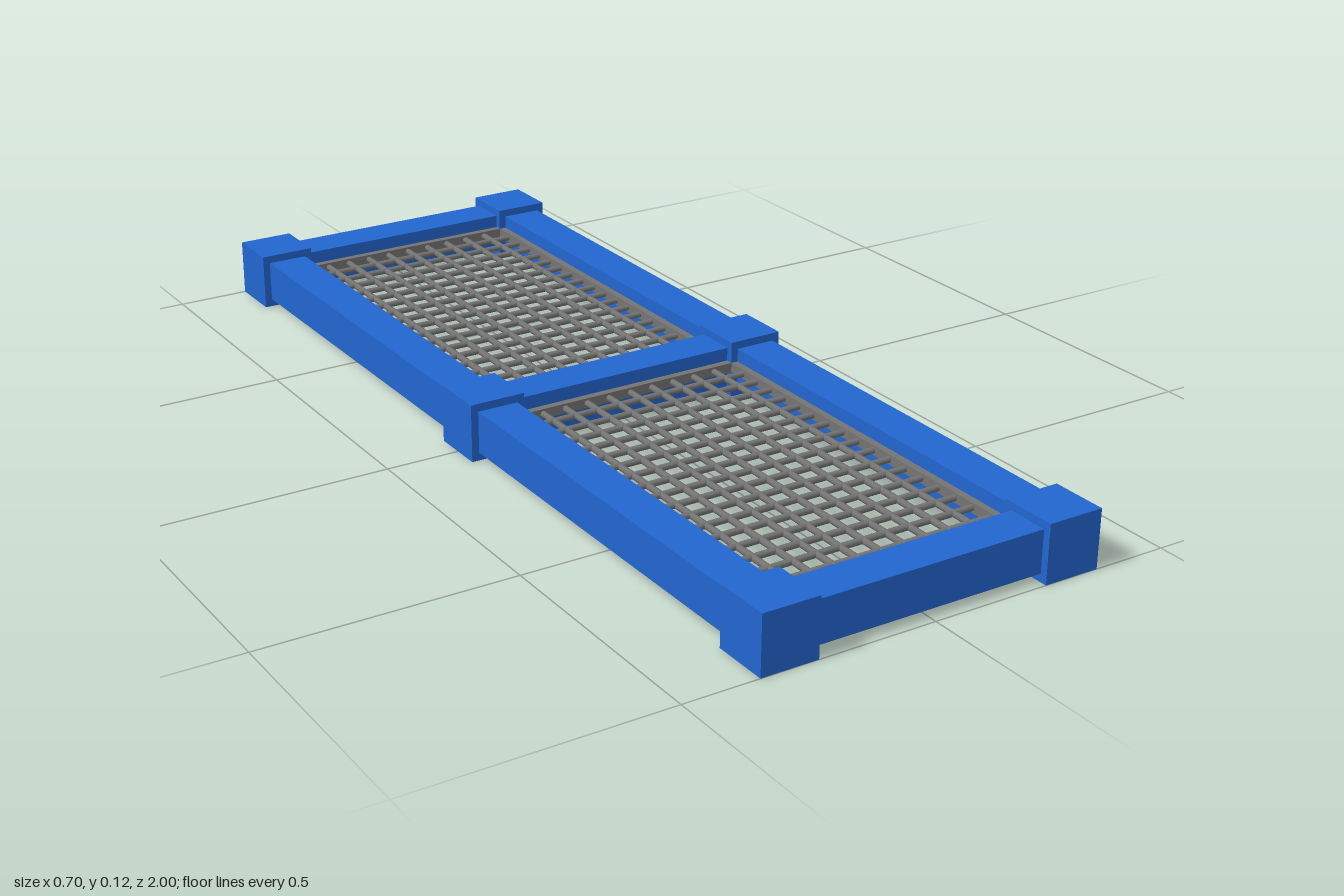
import * as THREE from 'three';

export function createModel() {
  const model = new THREE.Group();
  const blue = new THREE.MeshStandardMaterial({ color: 0x2266d0 });
  blue.name = 'blue frame';
  const grey = new THREE.MeshStandardMaterial({ color: 0x747474 });
  grey.name = 'grey mesh';

  const box = (name, mat, parent, w, h, d, x, y, z) => {
    const m = new THREE.Mesh(new THREE.BoxGeometry(w, h, d), mat);
    m.name = name;
    m.position.set(x, y, z);
    parent.add(m);
  };

  const post = 0.114, postH = 0.116, rail = 0.084, midY = postH / 2;
  const postX = 0.294, postZ = 0.943;

  // Six corner and middle blocks, with cross rails between each pair
  for (const z of [-postZ, 0, postZ]) {
    for (const s of [-1, 1]) box('cornerBlock', blue, model, post, postH, post, s * postX, midY, z);
    box('crossRail', blue, model, 2 * postX - post, rail, rail, 0, midY, z);
  }

  // Long side rails between the blocks
  for (const s of [-1, 1]) {
    for (const t of [-1, 1]) {
      box('sideRail', blue, model, rail, rail, postZ - post, s * postX, midY, t * postZ / 2);
    }
  }

  // Two wire mesh panels, each with a thin border
  const halfX = postX - rail / 2, halfZ = (postZ - rail) / 2;
  const border = 0.015, borderH = 0.02, cols = 10, rows = 18, r = 0.0065;
  const wireX = new THREE.CylinderGeometry(r, r, 2 * halfX - border, 8).rotateZ(Math.PI / 2);
  const wireZ = new THREE.CylinderGeometry(r, r, 2 * halfZ - border, 8).rotateX(Math.PI / 2);
  for (const t of [-1, 1]) {
    const panel = new THREE.Group();
    panel.name = 'meshPanel';
    panel.position.set(0, 0.063, t * postZ / 2);
    const inX = halfX - border / 2, inZ = halfZ - border / 2;
    for (const s of [-1, 1]) {
      box('panelSide', grey, panel, border, borderH, 2 * halfZ, s * inX, 0, 0);
      box('panelEnd', grey, panel, 2 * (halfX - border), borderH, border, 0, 0, s * inZ);
    }
    const wire = (geo, x, z) => {
      const m = new THREE.Mesh(geo, grey);
      m.name = 'wire';
      m.position.set(x, 0, z);
      panel.add(m);
    };
    for (let i = 1; i < cols; i++) wire(wireZ, inX * (2 * i / cols - 1), 0);
    for (let i = 1; i < rows; i++) wire(wireX, 0, inZ * (2 * i / rows - 1));
    model.add(panel);
  }
  return model;
}
